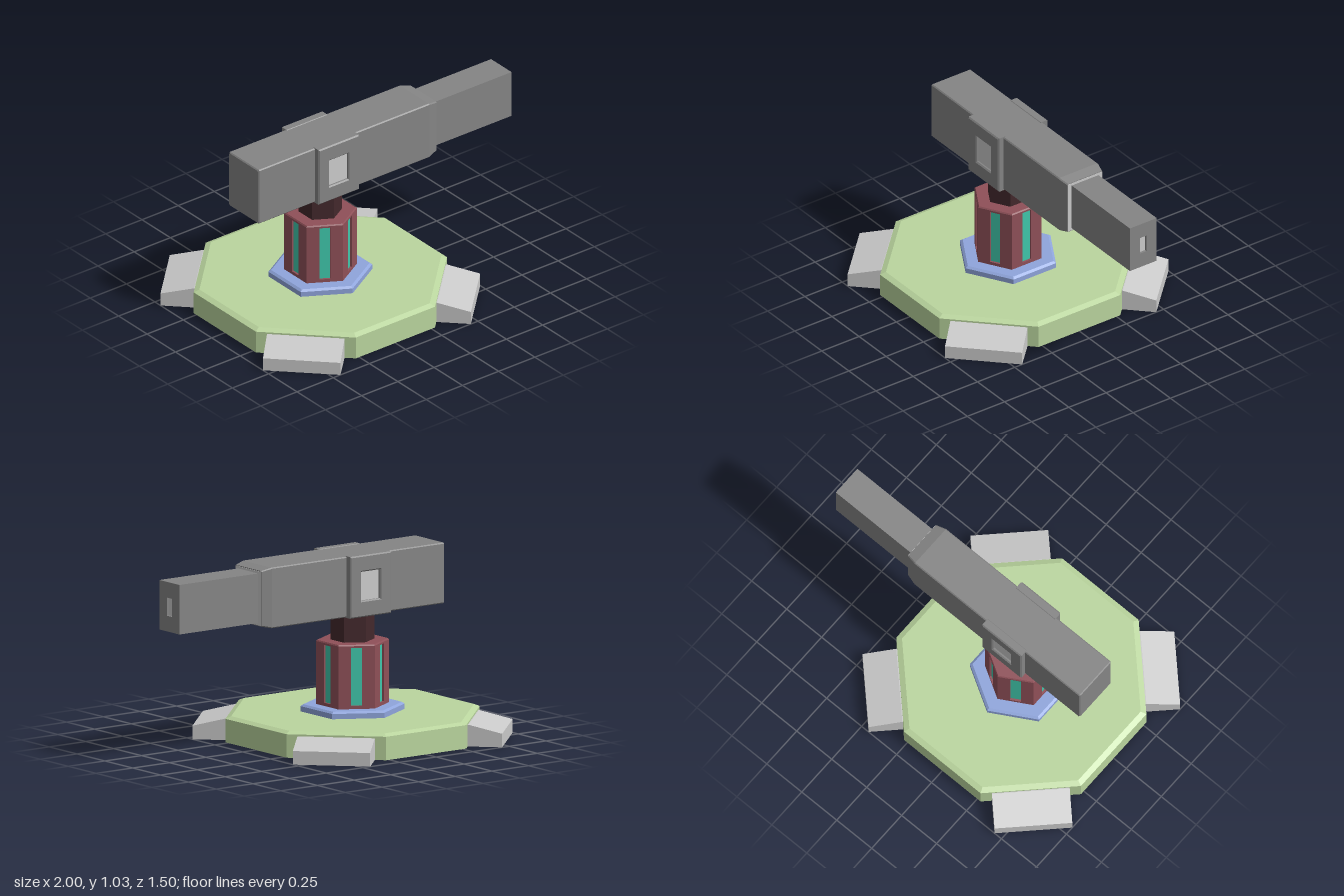
import * as THREE from 'three';

const mat = (color) => new THREE.MeshStandardMaterial({ color, flatShading: true });
const GREY = mat(0xcccccc), DARK = mat(0x858585), GREEN = mat(0xbad59e), BLUE = mat(0x8fa5dc),
  RED = mat(0x8f5058), NECK = mat(0x43282c), TEAL = mat(0x40c8ac);

function add(parent, name, geometry, material, x = 0, y = 0, z = 0) {
  const mesh = new THREE.Mesh(geometry, material);
  mesh.name = name;
  mesh.position.set(x, y, z);
  parent.add(mesh);
  return mesh;
}

// Closed prism of revolution with few sides; profile is [radius, y] from bottom to top
const turned = (profile, sides) =>
  new THREE.LatheGeometry(profile.map(([r, y]) => new THREE.Vector2(r, y)), sides);

const polygon = (pts) => new THREE.Shape(pts.map(([x, y]) => new THREE.Vector2(x, y)));
const rect = (hx, hy) => [[-hx, -hy], [hx, -hy], [hx, hy], [-hx, hy]];

// Plate with a rectangular window
function frame(hx, hy, holeX, holeY, depth, bevel = 0) {
  const shape = polygon(rect(hx - bevel, hy - bevel));
  shape.holes.push(polygon(rect(holeX, holeY).reverse()));
  return new THREE.ExtrudeGeometry(shape, {
    depth: depth - bevel, bevelEnabled: bevel > 0, bevelSize: bevel, bevelThickness: bevel, bevelSegments: 1,
  });
}

// Chamfered rectangular sections [x, halfHeight, halfWidth] joined along x
function loft(sections, c) {
  const pos = [], idx = [], n = 8;
  for (const [x, h, w] of sections) {
    const ring = [[h, -w + c], [h, w - c], [h - c, w], [-h + c, w],
      [-h, w - c], [-h, -w + c], [-h + c, -w], [h - c, -w]];
    for (const [y, z] of ring) pos.push(x, y, z);
  }
  const last = (sections.length - 1) * n;
  for (let i = 0; i < last; i += n) {
    for (let j = 0; j < n; j++) {
      const a = i + j, b = i + (j + 1) % n;
      idx.push(a, b, a + n, b, b + n, a + n);
    }
  }
  for (let j = 1; j < n - 1; j++) idx.push(0, j + 1, j, last, last + j, last + j + 1);
  const g = new THREE.BufferGeometry();
  g.setAttribute('position', new THREE.Float32BufferAttribute(pos, 3));
  g.setIndex(idx);
  g.computeVertexNormals();
  return g;
}

function makeBase() {
  const base = new THREE.Group();
  base.name = 'base';
  const k = 1 / Math.cos(Math.PI / 8);
  const plate = turned([[0, 0], [0.66 * k, 0], [0.66 * k, 0.13], [0.63 * k, 0.143], [0, 0.143]], 8);
  add(base, 'octagonPlate', plate.rotateY(Math.PI / 8), GREEN);

  // Four sloping feet on the diagonal sides
  const foot = new THREE.ExtrudeGeometry(
    polygon([[0.655, 0], [0.849, 0], [0.849, 0.075], [0.665, 0.12], [0.655, 0.12]]),
    { depth: 0.424, bevelEnabled: false }).translate(0, 0, -0.212);
  for (let i = 0; i < 4; i++) {
    add(base, 'foot', foot, GREY).rotation.y = Math.PI / 4 + i * Math.PI / 2;
  }
  return base;
}

function makePedestal() {
  const pedestal = new THREE.Group();
  pedestal.name = 'pedestal';
  add(pedestal, 'hexagonFlange',
    turned([[0, 0.14], [0.285, 0.14], [0.285, 0.172], [0.27, 0.182], [0, 0.182]], 6), BLUE);

  // Hexagonal column with a recessed slot in each face
  const R = 0.2, A = R * Math.cos(Math.PI / 6), D = 0.013, W = 0.03;
  const pts = [];
  for (let i = 0; i < 6; i++) {
    const t = i * Math.PI / 3, c = Math.cos(t), s = Math.sin(t);
    for (const [u, v] of [[A, -R / 2], [A, -W], [A - D, -W], [A - D, W], [A, W]]) {
      pts.push([u * c - v * s, u * s + v * c]);
    }
    const strip = new THREE.BoxGeometry(0.01, 0.32, W * 2).translate(A - D - 0.004, 0.36, 0);
    add(pedestal, 'lightStrip', strip, TEAL).rotation.y = t;
  }
  const slotted = new THREE.ExtrudeGeometry(polygon(pts), { depth: 0.32, bevelEnabled: false });
  add(pedestal, 'column', slotted.rotateX(-Math.PI / 2), RED, 0, 0.2);
  add(pedestal, 'columnFoot', turned([[0, 0.18], [R, 0.18], [R, 0.2], [0, 0.2]], 6), RED);
  add(pedestal, 'columnCap',
    turned([[0, 0.52], [R, 0.52], [R, 0.53], [R - 0.006, 0.537], [0, 0.537]], 6), RED);
  add(pedestal, 'neck', new THREE.CylinderGeometry(0.12, 0.12, 0.18, 6), NECK, 0, 0.62);
  return pedestal;
}

function makeHead() {
  const head = new THREE.Group();
  head.name = 'head';
  head.position.y = 0.86;
  add(head, 'housing', loft([[-0.78, 0.162, 0.126], [-0.774, 0.168, 0.132],
    [0.4, 0.168, 0.132], [0.46, 0.154, 0.118]], 0.006), DARK);
  add(head, 'shoulderFace', new THREE.BoxGeometry(0.006, 0.3, 0.228), GREY, 0.459);

  // Barrel with a small recessed opening in its end
  add(head, 'barrel', frame(0.09, 0.137, 0.022, 0.05, 0.56).rotateY(Math.PI / 2), DARK, 0.44);
  add(head, 'barrelInsert', new THREE.BoxGeometry(0.02, 0.1, 0.044), GREY, 0.976);

  // Windowed cheek plate on each side
  for (const side of [1, -1]) {
    const cheek = new THREE.Group();
    cheek.name = 'cheek';
    cheek.position.x = -0.25;
    cheek.rotation.y = side > 0 ? 0 : Math.PI;
    add(cheek, 'cheekFrame', frame(0.14, 0.171, 0.071, 0.087, 0.047, 0.007), DARK, 0, 0, 0.12);
    add(cheek, 'cheekWindow', new THREE.BoxGeometry(0.16, 0.19, 0.01), GREY, 0, 0, 0.146);
    head.add(cheek);
  }
  return head;
}

export function createModel() {
  const model = new THREE.Group();
  model.name = 'turret';
  const base = makeBase(), pedestal = makePedestal();
  base.position.x = pedestal.position.x = -0.25;
  model.add(base, pedestal, makeHead());
  return model;
}
